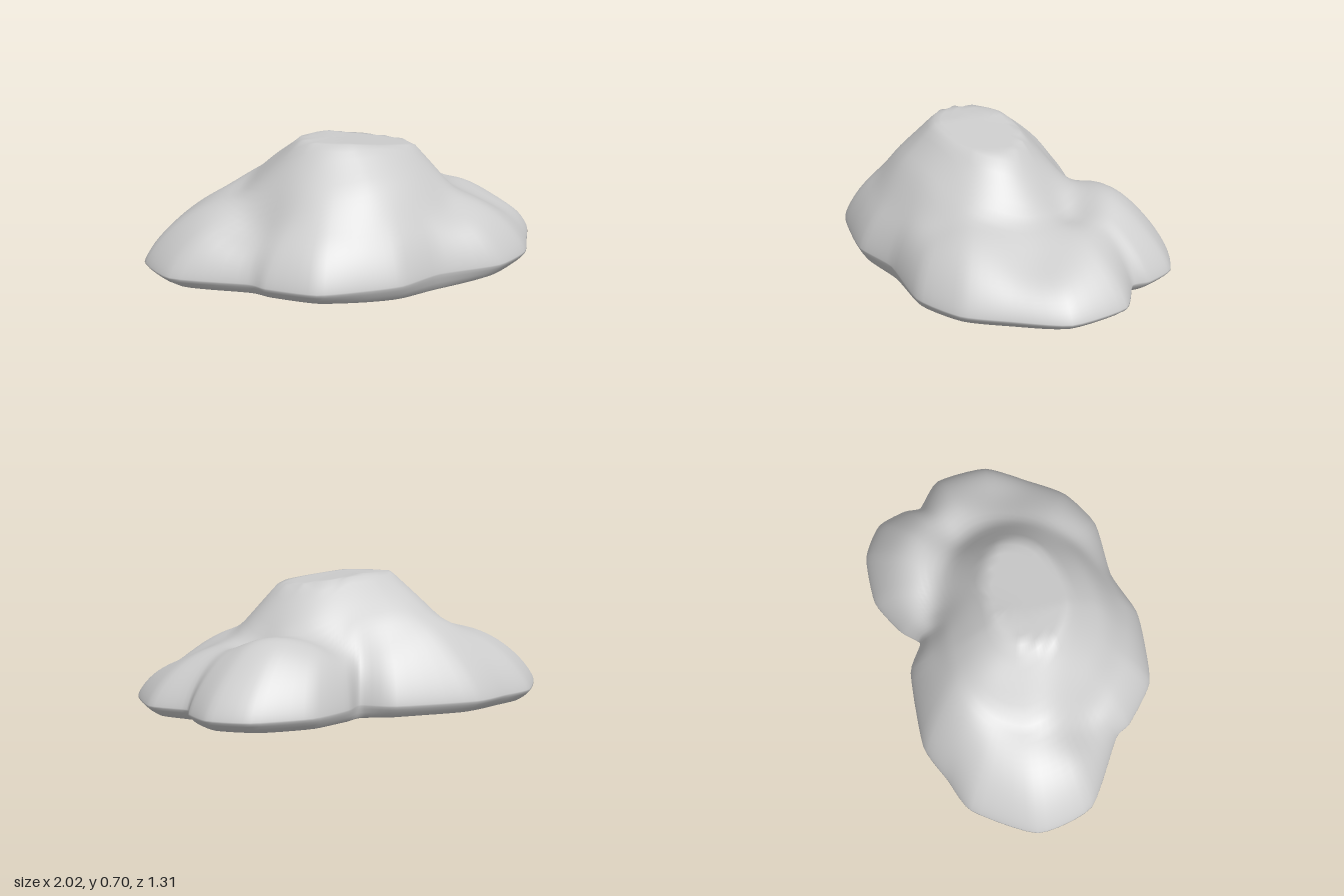
import * as THREE from 'three';
import { mergeVertices } from 'three/addons/utils/BufferGeometryUtils.js';

// Widest outline of the cloud, as [x, z]
const OUTLINE = [
  [-1, -0.2], [-0.8, -0.48], [-0.62, -0.55], [-0.42, -0.62], [-0.03, -0.58], [0.11, -0.49],
  [0.2, -0.57], [0.4, -0.66], [0.67, -0.64], [0.83, -0.53], [0.87, -0.38], [0.86, -0.29],
  [1, -0.15], [1, 0.13], [0.85, 0.34], [0.71, 0.51], [0.49, 0.61], [0.17, 0.59],
  [-0.06, 0.65], [-0.24, 0.63], [-0.45, 0.58], [-0.62, 0.41], [-0.67, 0.32], [-0.96, 0.09],
];

// Small swellings and hollows between the puffs: x, z, radius, height
const BUMPS = [
  [-0.28, -0.31, 0.2, 0.08], [0.53, -0.4, 0.18, 0.04], [0.54, -0.17, 0.12, -0.05],
  [0.16, -0.4, 0.12, -0.06], [-0.6, 0.18, 0.15, -0.08], [0.33, 0.45, 0.13, -0.03],
  [0.75, 0.16, 0.22, -0.08],
];

const RIM = 0.13;
const smooth = THREE.MathUtils.smoothstep;

// Central dome: a gently tilted oval plateau with sloping sides all round
function domeHeight(x, z) {
  const dx = x - 0.02, dz = z - 0.05;
  const rho = Math.hypot(dx / 0.29, dz / 0.19);
  const outside = rho > 1 ? (1 - 1 / rho) * Math.hypot(dx, dz) : 0;
  const h = 0.28 - 0.12 * Math.max(0, x + 0.1) - 0.95 * outside;
  return (h + Math.sqrt(h * h + 0.002)) / 2;
}

// Upper surface: a rounded cushion, the central dome and the bumps
function topHeight(x, z, t) {
  const u = Math.max(0, (t - 0.6) / 0.4);
  const cushion = Math.pow(Math.max(0, 1 - u * u), 0.75);
  let h = 0.285 + domeHeight(x, z);
  for (const [bx, bz, r, a] of BUMPS) {
    h += a * Math.exp(-((x - bx) ** 2 + (z - bz) ** 2) / (r * r));
  }
  return RIM + Math.min(h, 0.57) * cushion;
}

// Underside: a shallow bowl that curls up to the rim
function bottomHeight(x, z, t) {
  const bowl = 0.075 * smooth(Math.hypot(x - 0.1, z - 0.14), 0, 0.75);
  const curl = Math.max(0, (t - 0.92) / 0.08);
  return THREE.MathUtils.lerp(bowl, RIM, curl * curl);
}

function cloudGeometry() {
  const curve = new THREE.CatmullRomCurve3(
    OUTLINE.map(([x, z]) => new THREE.Vector3(x, 0, z)), true, 'catmullrom', 0.3);
  const N = 120, W = 7;
  const outer = Array.from({ length: N }, (_, i) => curve.getPoint(i / N));
  // A softened outline that the inner rings follow
  const inner = outer.map((_, i) => {
    const p = new THREE.Vector3();
    for (let k = -W; k <= W; k++) p.add(outer[(i + k + N) % N]);
    return p.divideScalar(2 * W + 1);
  });

  // Rings run from the middle of the underside, round the rim, to the summit
  const rings = [];
  for (const t of [0, 0.12, 0.25, 0.4, 0.55, 0.7, 0.82, 0.92, 0.95, 0.975, 0.99]) rings.push([t, bottomHeight]);
  const M = 30;
  for (let j = M; j >= 0; j--) rings.push([Math.sin((j / M) * Math.PI / 2), topHeight]);

  const position = [];
  const index = [];
  rings.forEach(([t, height], j) => {
    for (let i = 0; i < N; i++) {
      const { x, z } = inner[i].clone().lerp(outer[i], t ** 3).multiplyScalar(t);
      position.push(x, height(x, z, t), z);
      if (j === rings.length - 1) continue;
      const a = j * N + i, b = j * N + (i + 1) % N;
      index.push(a, a + N, b, b, a + N, b + N);
    }
  });

  const geometry = new THREE.BufferGeometry();
  geometry.setAttribute('position', new THREE.Float32BufferAttribute(position, 3));
  geometry.setIndex(index);
  const merged = mergeVertices(geometry, 1e-5);
  merged.computeVertexNormals();
  return merged;
}

export function createModel() {
  const group = new THREE.Group();
  group.name = 'cloud';
  const material = new THREE.MeshStandardMaterial({ color: 0xcccccc });
  material.name = 'cloud grey';
  const body = new THREE.Mesh(cloudGeometry(), material);
  body.name = 'cloudBody';
  group.add(body);
  return group;
}
